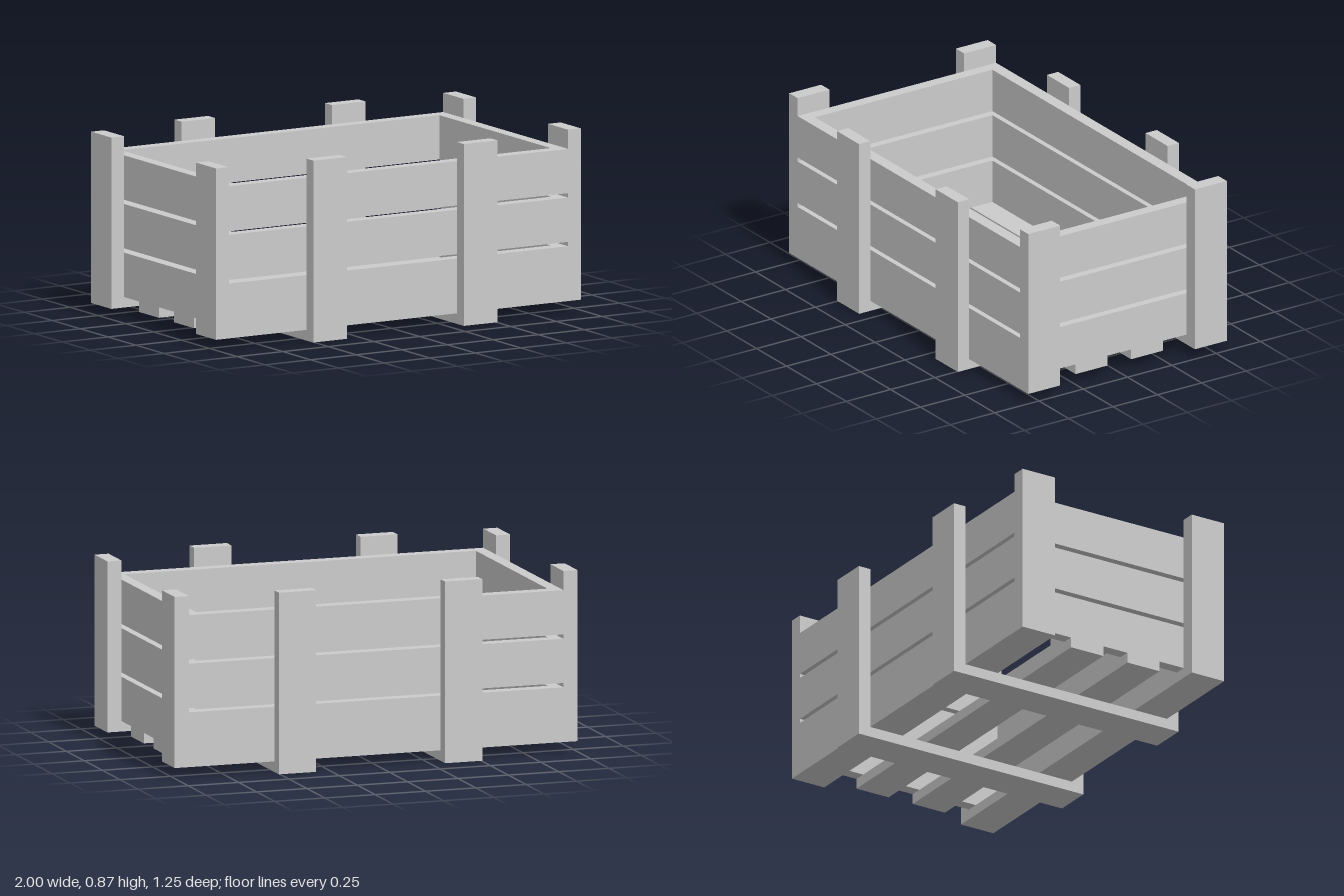
import * as THREE from 'three';

export function createModel() {
  const crate = new THREE.Group();
  crate.name = 'crate';
  const material = new THREE.MeshStandardMaterial({ color: 0xcccccc, flatShading: true });

  // Adds a board spanning the given ranges on each axis
  function board(name, [x0, x1], [y0, y1], [z0, z1]) {
    const mesh = new THREE.Mesh(new THREE.BoxGeometry(x1 - x0, y1 - y0, z1 - z0), material);
    mesh.position.set((x0 + x1) / 2, (y0 + y1) / 2, (z0 + z1) / 2);
    mesh.name = name;
    crate.add(mesh);
  }
  // Range mirrored to the given side
  const flip = (a, b, s) => (s > 0 ? [a, b] : [-b, -a]);

  const top = 0.865, floorBottom = 0.05, floorTop = 0.1;
  const plankHeight = 0.211, plankStep = 0.2315;

  for (const s of [1, -1]) {
    // Runner under the floor
    const braceX = flip(0.32, 0.505, s);
    board('runner', braceX, [0, floorBottom], [-0.56, 0.56]);

    // Floor boards
    board('outerFloorBoard', [-0.93, 0.93], [floorBottom, floorTop], flip(0.38, 0.56, s));
    board('innerFloorBoard', [-0.93, 0.93], [floorBottom, floorTop], flip(0.067, 0.246, s));

    // Wall planks, three rows with narrow gaps
    for (let i = 0; i < 3; i++) {
      const y = floorTop + i * plankStep;
      board('sidePlank', [-0.93, 0.93], [y, y + plankHeight], flip(0.5, 0.56, s));
      board('endPlank', flip(0.872, 0.93, s), [y, y + plankHeight], [-0.5, 0.5]);
    }

    // Corner posts and outer braces
    for (const t of [1, -1]) {
      board('cornerPost', flip(0.93, 1, s), [floorBottom, top], flip(0.38, 0.56, t));
      board('sideBrace', braceX, [0, top], flip(0.56, 0.624, t));
    }
  }
  return crate;
}
